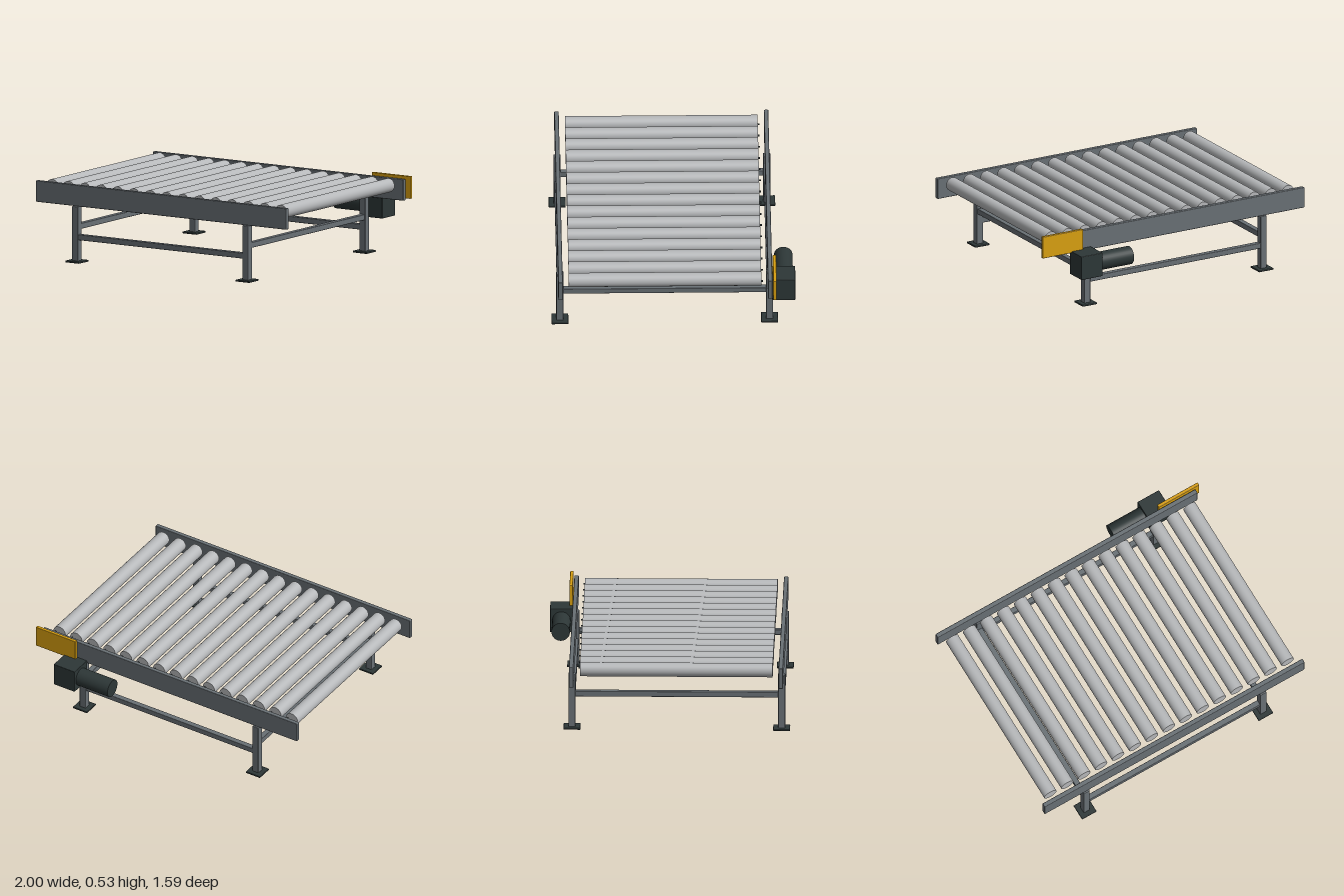
import * as THREE from 'three';
import { RoundedBoxGeometry } from 'three/addons/geometries/RoundedBoxGeometry.js';

const mat = (name, color) => {
  const m = new THREE.MeshStandardMaterial({ color });
  m.name = name;
  return m;
};

export function createModel() {
  const steel = mat('frame steel', 0x697075);
  const chrome = mat('roller metal', 0xb6b8ba);
  const dark = mat('dark iron', 0x2d3737);
  const yellow = mat('guard yellow', 0xd9a010);

  const model = new THREE.Group();
  model.name = 'rollerConveyor';

  const add = (name, geometry, material, x, y, z) => {
    const mesh = new THREE.Mesh(geometry, material);
    mesh.name = name;
    mesh.position.set(x, y, z);
    model.add(mesh);
    return mesh;
  };
  // Box with softened edges
  const box = (w, h, d, r) => new RoundedBoxGeometry(w, h, d, 2, r);

  const midX = -0.018, midZ = 0.055;
  const halfX = 0.668, halfZ = 0.682;

  // Side rails, legs with foot plates, and lengthwise braces
  for (const side of [1, -1]) {
    const z = midZ + side * halfZ;
    add('sideRail', box(1.966, 0.14, 0.029, 0.005), steel, -0.017, 0.44, z);
    add('lengthBrace', box(2 * halfX - 0.03, 0.037, 0.037, 0.004), steel, midX, 0.167, z);
    for (const end of [1, -1]) {
      const x = midX + end * halfX;
      add('leg', box(0.047, 0.362, 0.047, 0.005), steel, x, 0.189, z);
      add('footPlate', box(0.11, 0.012, 0.11, 0.004), dark, x, 0.006, z);
    }
  }

  // Cross braces between the two sides
  for (const end of [1, -1]) {
    add('crossBrace', box(0.037, 0.037, 2 * halfZ - 0.03, 0.004), steel, midX + end * halfX, 0.235, midZ);
  }

  // Row of rollers, each with a small pin at the drive end
  const rollerGeo = new THREE.CylinderGeometry(0.046, 0.046, 1.254, 32).rotateX(Math.PI / 2);
  const pinGeo = new THREE.CylinderGeometry(0.006, 0.006, 0.02, 10).rotateX(Math.PI / 2);
  for (let i = 0; i < 15; i++) {
    const x = -0.916 + i * 0.1282;
    add('roller', rollerGeo, chrome, x, 0.471, 0.056);
    add('rollerPin', pinGeo, dark, x + 0.029, 0.471, -0.572);
  }

  // Drive unit: gearbox, motor barrel and chain guard
  add('gearbox', box(0.162, 0.16, 0.152, 0.004), dark, 0.7, 0.311, -0.718);
  const barrel = new THREE.CylinderGeometry(0.06, 0.06, 0.25, 32).rotateZ(Math.PI / 2);
  add('motorBarrel', barrel, dark, 0.499, 0.311, -0.72);
  add('chainGuard', box(0.306, 0.148, 0.022, 0.004), yellow, 0.846, 0.455, -0.658);

  return model;
}
